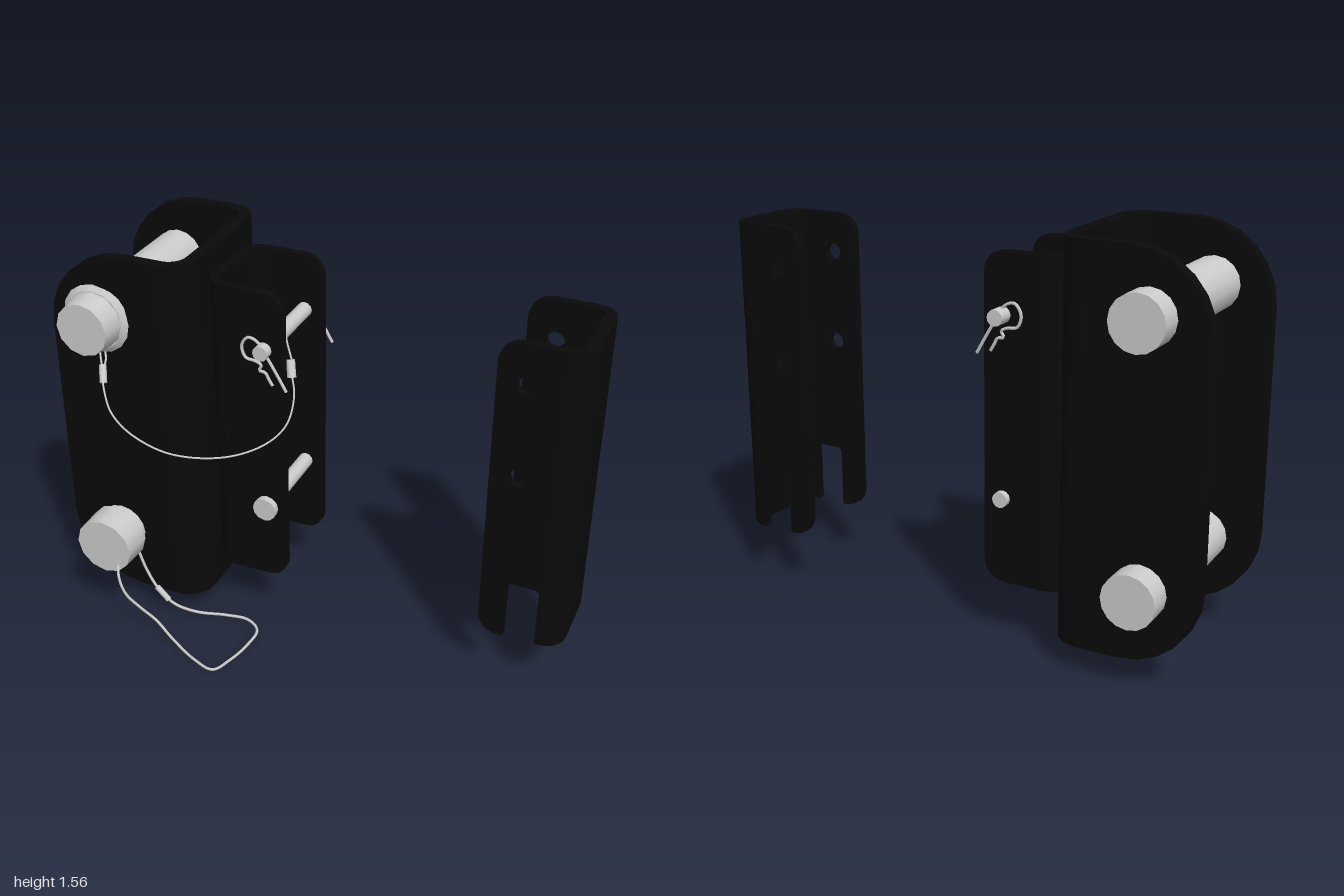
import * as THREE from 'three';
import { toCreasedNormals } from 'three/addons/utils/BufferGeometryUtils.js';

const black = new THREE.MeshStandardMaterial({ color: 0x0a0a0a });
const grey = new THREE.MeshStandardMaterial({ color: 0xcccccc });

function addMesh(parent, name, geometry, material) {
  const m = new THREE.Mesh(geometry, material);
  m.name = name;
  parent.add(m);
  return m;
}

// Polygon whose corners [x, y, radius] are rounded with quarter-circle curves
function roundedPoly(corners, target = new THREE.Shape()) {
  const n = corners.length;
  const toward = (a, b, d) => {
    const len = Math.hypot(b[0] - a[0], b[1] - a[1]);
    return [a[0] + (b[0] - a[0]) * d / len, a[1] + (b[1] - a[1]) * d / len];
  };
  corners.forEach((c, i) => {
    const prev = corners[(i + n - 1) % n], next = corners[(i + 1) % n], r = c[2] || 0;
    const start = toward(c, prev, r), end = toward(c, next, r);
    if (i === 0) target.moveTo(...start); else target.lineTo(...start);
    if (r) {
      target.bezierCurveTo(...toward(c, prev, r * 0.448), ...toward(c, next, r * 0.448), ...end);
    }
  });
  target.closePath();
  return target;
}

function extrude(shape, depth) {
  return new THREE.ExtrudeGeometry(shape, { depth, bevelEnabled: false, curveSegments: 6 });
}

// U-shaped channel: bent web running along y plus two flanges reaching to xFree
function channel(name, p) {
  const group = new THREE.Group();
  group.name = name;
  const s = Math.sign(p.xFree - p.xWeb);
  const xBend = p.xWeb + s * p.bend;
  const { y0, y1, z0, z1, tf, tw } = p;
  const xi = p.xWeb + s * tw, ri = p.bend - tw;

  const web = roundedPoly([
    [xBend, -z0], [p.xWeb, -z0, p.bend], [p.xWeb, -z1, p.bend], [xBend, -z1],
    [xBend, -z1 + tf], [xi, -z1 + tf, ri], [xi, -z0 - tf, ri], [xBend, -z0 - tf],
  ]);
  const webGeo = extrude(web, y1 - y0).rotateX(-Math.PI / 2).translate(0, y0, 0);
  addMesh(group, 'web', toCreasedNormals(webGeo, 0.6), black);

  const outline = [[xBend, y1], [p.xFree, y1, p.corner], [p.xFree, y0, p.corner]];
  if (p.slot) {
    const [a, b, top] = p.slot;
    outline.push([a, y0], [a, top, 0.02], [b, top, 0.02], [b, y0]);
  }
  outline.push([xBend, y0]);
  const flange = roundedPoly(outline);
  for (const [x, y, r] of p.holes || []) {
    flange.holes.push(new THREE.Path().absarc(x, y, r, 0, Math.PI * 2, true));
  }
  const flangeGeo = toCreasedNormals(extrude(flange, tf), 0.6);
  addMesh(group, 'backFlange', flangeGeo, black).position.z = z0;
  addMesh(group, 'frontFlange', flangeGeo, black).position.z = z1 - tf;
  return group;
}

// Cylinder along z from z0 to z1
function rod(parent, name, x, y, z0, z1, rBack, rFront = rBack, sides = 16) {
  const g = new THREE.CylinderGeometry(rFront, rBack, z1 - z0, sides).rotateX(Math.PI / 2);
  addMesh(parent, name, g, grey).position.set(x, y, (z0 + z1) / 2);
}

function wire(parent, name, points, radius, segments, closed = false) {
  const curve = new THREE.CatmullRomCurve3(points.map(p => new THREE.Vector3(...p)), closed);
  addMesh(parent, name, new THREE.TubeGeometry(curve, segments, radius, 6, closed), grey);
}

// Short sleeve clamped on a cable between two points
function crimp(parent, a, b, radius) {
  const from = new THREE.Vector3(...a), to = new THREE.Vector3(...b);
  const m = addMesh(parent, 'crimp', new THREE.CylinderGeometry(radius, radius, from.distanceTo(to), 10), grey);
  m.position.copy(from).lerp(to, 0.5);
  m.quaternion.setFromUnitVectors(new THREE.Vector3(0, 1, 0), to.sub(from).normalize());
}

export function createModel() {
  const model = new THREE.Group();
  const group = name => {
    const g = new THREE.Group();
    g.name = name;
    model.add(g);
    return g;
  };

  // Channels
  model.add(channel('largeChannel', {
    xWeb: -0.435, xFree: -1, y0: 0.11, y1: 1.56, z0: -0.4, z1: 0.225,
    tf: 0.045, tw: 0.047, bend: 0.11, corner: 0.3,
  }));
  const small = { y0: 0.235, y1: 1.47, z0: -0.285, z1: 0.103, tf: 0.03, tw: 0.045, bend: 0.085, corner: 0.08 };
  model.add(channel('smallChannel', { ...small, xWeb: -0.433, xFree: -0.115 }));
  model.add(channel('separateBracket', {
    ...small, xWeb: 1, xFree: 0.677,
    holes: [[0.783, 1.313, 0.035], [0.783, 0.945, 0.035]],
    slot: [0.777, 0.9, 0.483],
  }));

  // Large pins
  const upper = group('upperPin');
  rod(upper, 'shaft', -0.78, 1.33, -0.5, 0.27, 0.1);
  rod(upper, 'collar', -0.78, 1.33, 0.258, 0.272, 0.12, 0.135);
  rod(upper, 'collarRim', -0.78, 1.33, 0.272, 0.286, 0.135, 0.115);
  rod(upper, 'head', -0.78, 1.33, 0.28, 0.375, 0.112, 0.102, 12);
  const lower = group('lowerPin');
  rod(lower, 'shaft', -0.78, 0.377, -0.5, 0.27, 0.1);
  rod(lower, 'head', -0.78, 0.377, 0.26, 0.378, 0.12, 0.117, 12);

  // Small pins
  const clipPin = group('clipPin');
  rod(clipPin, 'shaft', -0.19, 1.245, -0.348, 0.14, 0.03, 0.03, 12);
  const fixedPin = group('fixedPin');
  rod(fixedPin, 'shaft', -0.19, 0.565, -0.31, 0.12, 0.03, 0.03, 12);
  rod(fixedPin, 'head', -0.19, 0.565, 0.113, 0.14, 0.048, 0.048, 12);

  // Hairpin clips on both ends of the clip pin
  const clipPath = [
    [-0.095, 1.1], [-0.135, 1.17], [-0.175, 1.235], [-0.21, 1.285], [-0.245, 1.293], [-0.27, 1.255],
    [-0.255, 1.21], [-0.215, 1.203], [-0.193, 1.19], [-0.203, 1.168], [-0.178, 1.163], [-0.165, 1.14], [-0.15, 1.115],
  ];
  const clips = group('hairpinClips');
  for (const z of [0.122, -0.302]) {
    wire(clips, 'hairpinClip', clipPath.map(([x, y]) => [x, y, z]), 0.006, 60);
  }

  // Thin cable from the upper pin to the clip pin, with a loop at each end
  const cable = group('upperLanyard');
  wire(cable, 'cable', [
    [-0.74, 1.15, 0.33], [-0.71, 1.09, 0.37], [-0.67, 1.03, 0.4], [-0.59, 0.965, 0.41],
    [-0.45, 0.893, 0.375], [-0.28, 0.86, 0.27], [-0.16, 0.89, 0.17],
    [-0.105, 0.95, 0.105], [-0.1, 1.04, 0.045], [-0.125, 1.12, 0.01],
  ], 0.004, 80);
  wire(cable, 'collarLoop', [
    [-0.74, 1.16, 0.32], [-0.755, 1.195, 0.305], [-0.765, 1.222, 0.285], [-0.765, 1.205, 0.262], [-0.75, 1.175, 0.28],
  ], 0.004, 30, true);
  wire(cable, 'pinLoop', [
    [-0.13, 1.14, -0.005], [-0.155, 1.22, -0.02], [-0.175, 1.275, -0.03],
    [-0.21, 1.275, -0.035], [-0.222, 1.235, -0.03], [-0.18, 1.175, -0.015],
  ], 0.004, 40, true);
  crimp(cable, [-0.745, 1.168, 0.312], [-0.725, 1.115, 0.348], 0.014);
  crimp(cable, [-0.122, 1.1, 0.015], [-0.138, 1.16, -0.01], 0.017);

  // Heavier cable looping from the lower pin down to the ground
  const loop = group('lowerLanyard');
  wire(loop, 'cable', [
    [-0.725, 0.31, 0.37], [-0.71, 0.27, 0.4], [-0.68, 0.2, 0.41], [-0.63, 0.13, 0.39], [-0.57, 0.07, 0.373],
    [-0.48, 0.035, 0.41], [-0.35, 0.018, 0.47], [-0.26, 0.012, 0.488], [-0.225, 0.01, 0.41], [-0.203, 0.008, 0.3],
    [-0.207, 0.008, 0.2], [-0.27, 0.012, 0.16], [-0.36, 0.017, 0.175], [-0.47, 0.032, 0.22], [-0.56, 0.06, 0.24],
    [-0.63, 0.12, 0.243], [-0.68, 0.2, 0.24], [-0.715, 0.3, 0.24],
  ], 0.006, 140);
  crimp(loop, [-0.585, 0.075, 0.242], [-0.635, 0.127, 0.243], 0.012);

  return model;
}
